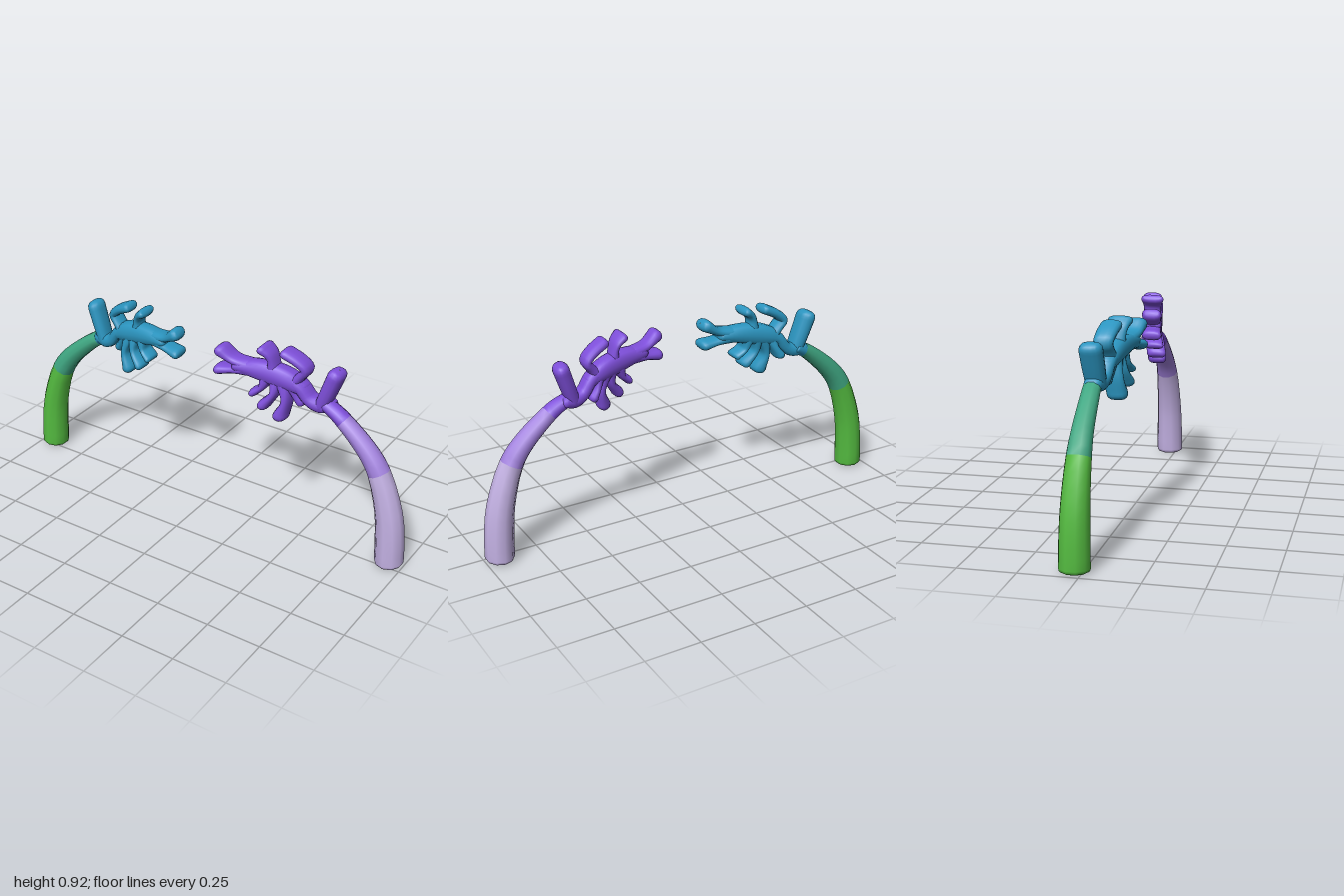
import * as THREE from 'three';

const mat = (name, color) => {
  const m = new THREE.MeshStandardMaterial({ color });
  m.name = name;
  return m;
};

// Swept limb. Each point is [x, y, z, half thickness, half depth]; the path bends in the xy plane.
function limb(points, { sides = 14, steps = 14, from = 0, to = 1, power = 2.5, round = 0.8, place }) {
  const path = new THREE.CatmullRomCurve3(points.map(p => new THREE.Vector3(p[0], p[1], p[2])), false, 'catmullrom', 0.5);
  const size = new THREE.CatmullRomCurve3(points.map(p => new THREE.Vector3(p[3], p[4], 0)), false, 'catmullrom', 0.5);
  const pos = [], idx = [];
  const ring = (t, shrink, push) => {
    const c = path.getPoint(t), s = size.getPoint(t), g = path.getTangent(t).setZ(0).normalize();
    c.addScaledVector(g, push);
    const w = Math.max(s.x - shrink, 0.0005), d = Math.max(s.y - shrink, 0.0005);
    for (let j = 0; j < sides; j++) {
      const a = ((j + 0.5) / sides) * Math.PI * 2;
      const bulge = v => Math.sign(v) * Math.pow(Math.abs(v), 2 / power);
      const u = bulge(Math.cos(a)) * w, v = bulge(Math.sin(a)) * d;
      pos.push(...place(c.x - g.y * u, c.y + g.x * u, c.z + v));
    }
  };
  // rounded cap: bevel rings, then a closing ring at the centre
  const cap = (t, dir) => {
    const s = size.getPoint(t), r = Math.min(s.x, s.y) * round;
    const rings = [[Math.max(s.x, s.y), r]];
    for (const a of [75, 50, 25]) {
      const k = a * Math.PI / 180;
      rings.push([r * (1 - Math.cos(k)), r * Math.sin(k)]);
    }
    if (dir > 0) rings.reverse();
    for (const [shrink, push] of rings) ring(t, shrink, push * dir);
  };
  if (from === 0) cap(0, -1);
  for (let i = 0; i <= steps; i++) ring(from + (to - from) * i / steps, 0, 0);
  if (to === 1) cap(1, 1);
  const rows = pos.length / 3 / sides;
  for (let i = 0; i < rows - 1; i++) for (let j = 0; j < sides; j++) {
    const a = i * sides + j, b = i * sides + (j + 1) % sides, c = a + sides, d = b + sides;
    if (place.flip) idx.push(a, c, b, b, c, d);
    else idx.push(a, b, c, b, d, c);
  }
  const geo = new THREE.BufferGeometry();
  geo.setAttribute('position', new THREE.Float32BufferAttribute(pos, 3));
  geo.setIndex(idx);
  geo.computeVertexNormals();
  return geo;
}

// Arched stalk, from the ground to the wrist
const stalk = [
  [0.935, 0.02, -0.033, 0.065, 0.067],
  [0.93, 0.14, -0.033, 0.065, 0.065],
  [0.913, 0.27, -0.033, 0.061, 0.061],
  [0.862, 0.43, -0.033, 0.053, 0.054],
  [0.79, 0.535, -0.035, 0.046, 0.047],
  [0.665, 0.645, -0.038, 0.037, 0.041],
  [0.585, 0.69, -0.043, 0.03, 0.038],
];

// Branching head
const branches = {
  wrist: [[0.6, 0.685, 0, 0.028, 0.038], [0.555, 0.68, 0, 0.033, 0.042], [0.51, 0.7, 0, 0.028, 0.042], [0.475, 0.745, 0, 0.028, 0.044], [0.44, 0.77, 0, 0.03, 0.045]],
  thumb: [[0.565, 0.68, 0, 0.03, 0.042], [0.59, 0.75, 0, 0.033, 0.046], [0.619, 0.833, 0, 0.035, 0.048]],
  body: [[0.475, 0.745, 0, 0.03, 0.042], [0.42, 0.77, 0, 0.045, 0.048], [0.35, 0.787, 0, 0.05, 0.048], [0.27, 0.797, 0, 0.042, 0.046], [0.19, 0.8, 0, 0.026, 0.044]],
  upperArm: [[0.44, 0.765, 0, 0.026, 0.042], [0.47, 0.802, 0, 0.02, 0.04], [0.492, 0.838, 0, 0.021, 0.042], [0.455, 0.872, 0, 0.022, 0.044], [0.402, 0.898, 0, 0.023, 0.045]],
  topProng: [[0.345, 0.79, 0, 0.034, 0.04], [0.345, 0.845, 0, 0.018, 0.04], [0.332, 0.88, 0, 0.018, 0.046], [0.305, 0.902, 0, 0.022, 0.054]],
  upperTip: [[0.24, 0.805, 0, 0.03, 0.042], [0.17, 0.825, 0, 0.02, 0.042], [0.115, 0.858, 0, 0.029, 0.046]],
  lowerTip: [[0.24, 0.79, 0, 0.03, 0.042], [0.17, 0.778, 0, 0.019, 0.042], [0.108, 0.767, 0, 0.024, 0.046]],
  innerFin: [[0.43, 0.76, 0, 0.03, 0.04], [0.45, 0.71, -0.01, 0.019, 0.042], [0.472, 0.675, -0.015, 0.023, 0.044]],
  longFin: [[0.395, 0.76, 0, 0.034, 0.042], [0.415, 0.68, 0.012, 0.018, 0.044], [0.395, 0.605, 0.022, 0.03, 0.044]],
  middleFin: [[0.365, 0.76, 0, 0.03, 0.042], [0.36, 0.7, 0.012, 0.017, 0.044], [0.32, 0.643, 0.02, 0.024, 0.046]],
  outerFin: [[0.32, 0.765, 0, 0.03, 0.042], [0.305, 0.72, 0.005, 0.015, 0.042], [0.27, 0.69, 0.01, 0.018, 0.044]],
};

// One arch: side is +1 or -1; the head leans forward towards its tip
function arch(side, { tilt, lean, shift, cut, mats }) {
  const g = new THREE.Group();
  const add = (name, geo, m) => {
    const mesh = new THREE.Mesh(geo, m);
    mesh.name = name;
    g.add(mesh);
  };
  const placer = f => { f.flip = side < 0; return f; };
  const onStalk = placer((x, y, z) => [side * x, y, z]);
  const onHead = placer((x, y, z) => [side * (x + shift), y, z + lean + tilt * (0.6 - x)]);
  const stalkPart = (name, from, to, m) =>
    add(name, limb(stalk, { sides: 10, steps: 8, from, to, power: 2, round: 0.28, place: onStalk }), m);
  stalkPart('lowerStalk', 0, 0.52, mats[0]);
  stalkPart('upperStalk', 0.52, cut, mats[1]);
  stalkPart('stalkTop', cut, 1, mats[2]);
  for (const [name, pts] of Object.entries(branches)) add(name, limb(pts, { place: onHead }), mats[2]);
  return g;
}

export function createModel() {
  const model = new THREE.Group();
  const left = arch(1, {
    tilt: 0.2, lean: -0.052, shift: 0, cut: 0.82,
    mats: [mat('lavender', 0xc2b0e2), mat('lilac', 0xa181dd), mat('violet', 0x7e4fda)],
  });
  left.name = 'leftArch';
  const right = arch(-1, {
    tilt: 0.145, lean: -0.037, shift: 0.018, cut: 0.91,
    mats: [mat('leaf green', 0x54bb40), mat('teal green', 0x40a883), mat('sea blue', 0x2b95c0)],
  });
  right.name = 'rightArch';
  model.add(left, right);
  return model;
}
